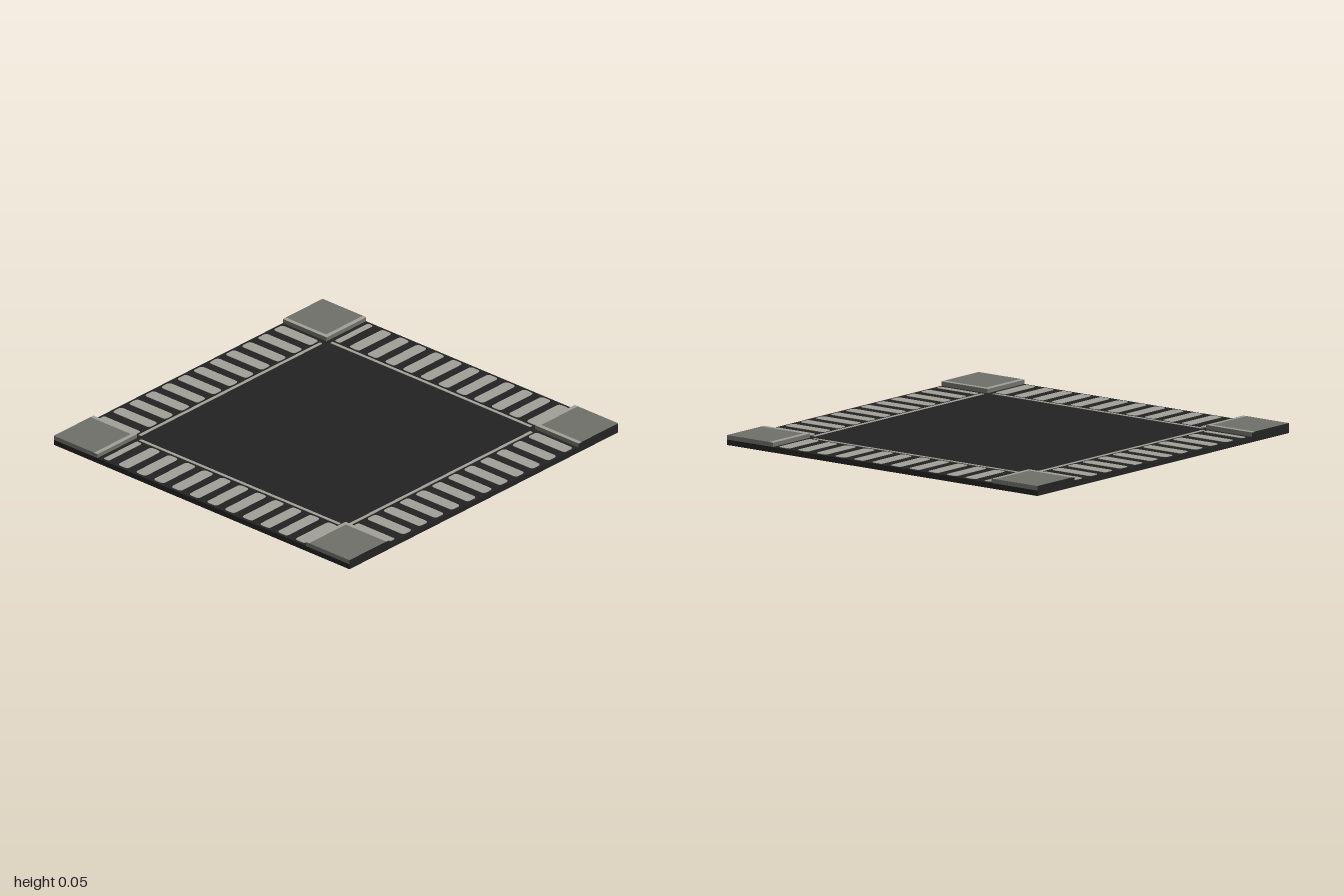
import * as THREE from 'three';

const mat = (name, color) => Object.assign(new THREE.MeshStandardMaterial({ color }), { name });

const SKIN = 0.002;      // thickness of painted plates
const ROAD_TOP = 0.03;
const WALK_TOP = 0.053;
const INNER = 0.705;     // half width of the carriageway

export function createModel() {
  const asphalt = mat('asphalt', 0x222222);
  const paint = mat('pale grey', 0xa0a098);
  const paving = mat('paving grey', 0x70706a);
  const model = new THREE.Group();
  model.name = 'crossroadTile';

  const box = (parent, name, material, [x0, x1], [y0, y1], [z0, z1]) => {
    const mesh = new THREE.Mesh(new THREE.BoxGeometry(x1 - x0, y1 - y0, z1 - z0), material);
    mesh.position.set((x0 + x1) / 2, (y0 + y1) / 2, (z0 + z1) / 2);
    mesh.name = name;
    parent.add(mesh);
  };

  // Flat painted bar with rounded corners, lying on the ground
  const bar = (w, d, r) => {
    const s = new THREE.Shape();
    const x = w / 2, y = d / 2;
    s.moveTo(-x + r, -y);
    s.lineTo(x - r, -y);
    s.quadraticCurveTo(x, -y, x, -y + r);
    s.lineTo(x, y - r);
    s.quadraticCurveTo(x, y, x - r, y);
    s.lineTo(-x + r, y);
    s.quadraticCurveTo(-x, y, -x, y - r);
    s.lineTo(-x, -y + r);
    s.quadraticCurveTo(-x, -y, -x + r, -y);
    const geo = new THREE.ExtrudeGeometry(s, { depth: SKIN, bevelEnabled: false, curveSegments: 4 });
    return geo.rotateX(-Math.PI / 2);
  };
  const wideBar = bar(0.067, 0.25, 0.02);
  const narrowBar = bar(0.036, 0.25, 0.012);
  const stopLine = bar(1.35, 0.018, 0.004);

  // Road slab
  box(model, 'roadSlab', asphalt, [-1, 1], [SKIN, ROAD_TOP], [-1, 1]);

  // One pedestrian crossing: a narrow bar, eleven wide bars and a stop line
  const crossing = (name, y, side, alongX) => {
    const g = new THREE.Group();
    g.name = name;
    const add = (part, geo, along, out) => {
      const mesh = new THREE.Mesh(geo, paint);
      mesh.name = part;
      if (alongX) {
        mesh.position.set(along, y, side * out);
      } else {
        mesh.position.set(side * out, y, -along);
        mesh.rotation.y = Math.PI / 2;
      }
      g.add(mesh);
    };
    add('narrowCrossingBar', narrowBar, -0.661, 0.86);
    for (let i = 0; i < 11; i++) add('crossingBar', wideBar, -0.549 + i * 0.1198, 0.86);
    add('stopLine', stopLine, -0.003, 0.712);
    model.add(g);
  };

  // The crossings show on the top and on the underside
  for (const [face, y] of [['top', ROAD_TOP], ['underside', 0]]) {
    crossing(face + 'FrontCrossing', y, 1, true);
    crossing(face + 'BackCrossing', y, -1, true);
    crossing(face + 'LeftCrossing', y, 1, false);
    crossing(face + 'RightCrossing', y, -1, false);
  }

  // Raised pavement at each corner, edged with a pale kerb line
  for (const sx of [-1, 1]) {
    for (const sz of [-1, 1]) {
      const g = new THREE.Group();
      g.name = (sz > 0 ? 'front' : 'back') + (sx > 0 ? 'Left' : 'Right') + 'Pavement';
      const span = (s, a, b) => (s > 0 ? [a, b] : [-b, -a]);
      const top = WALK_TOP - SKIN;
      // Outer side faces match the road slab
      const faces = Array(6).fill(paving);
      faces[sx > 0 ? 0 : 1] = asphalt;
      box(g, 'pavementBlock', faces, span(sx, INNER, 1), [ROAD_TOP, top], span(sz, INNER, 1));
      box(g, 'pavingTop', faces, span(sx, INNER + 0.022, 1), [top, WALK_TOP], span(sz, INNER + 0.022, 1));
      box(g, 'sideKerb', paint, span(sx, INNER, INNER + 0.022), [top, WALK_TOP], span(sz, INNER, 1));
      box(g, 'endKerb', paint, span(sx, INNER + 0.022, 1), [top, WALK_TOP], span(sz, INNER, INNER + 0.022));
      model.add(g);
    }
  }
  return model;
}
